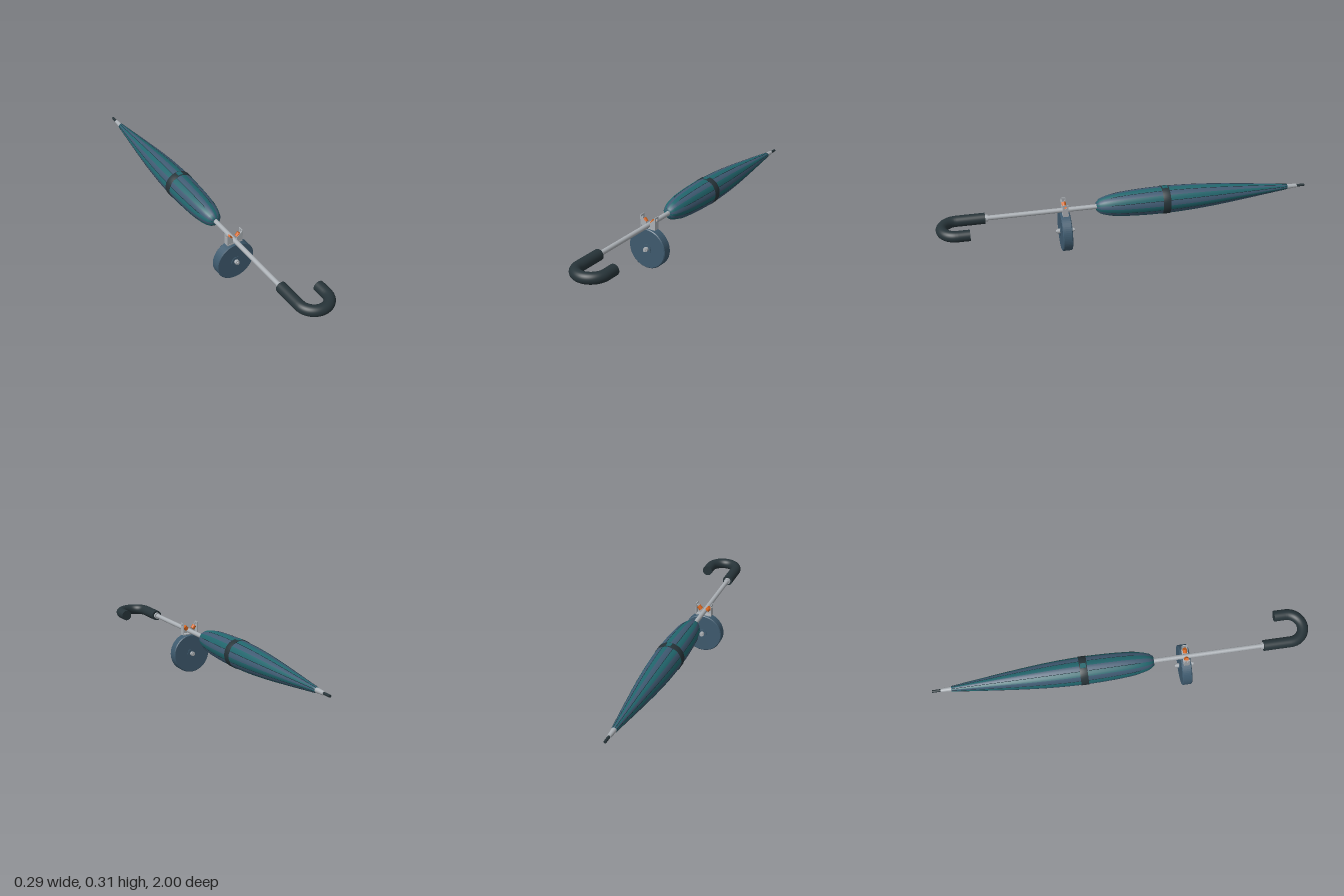
import * as THREE from 'three';

const AX = -0.04, AY = 0.235;            // umbrella axis, running along z
const mat = (name, color, extra = {}) => Object.assign(new THREE.MeshStandardMaterial({ color, ...extra }), { name });

export function createModel() {
  const teal = mat('teal fabric', 0x21666d, { side: THREE.DoubleSide });
  const slate = mat('slate fabric', 0x3f5a72, { side: THREE.DoubleSide });
  const wheelBlue = mat('wheel blue', 0x3e5a6e);
  const dark = mat('dark rubber', 0x273439);
  const seamDark = mat('dark seam', 0x1a2b33);
  const silver = mat('silver metal', 0xabb0b5);
  const orange = mat('orange', 0xd5651f);

  const model = new THREE.Group();
  model.name = 'umbrella';
  const add = (name, geo, material, x = 0, y = 0, z = 0) => {
    const m = new THREE.Mesh(geo, material);
    m.name = name;
    m.position.set(x, y, z);
    model.add(m);
    return m;
  };
  // cylinder along z between two z values
  const rod = (name, r, z0, z1, material, x = AX, y = AY, sides = 32, r1 = r) =>
    add(name, new THREE.CylinderGeometry(r1, r, z1 - z0, sides).rotateX(Math.PI / 2), material, x, y, (z0 + z1) / 2);

  // shaft, collar, ferrule and tip
  rod('shaft', 0.0125, -0.9, 0.76, silver);
  rod('handleCollar', 0.018, 0.732, 0.75, silver);
  rod('ferrule', 0.010, -0.955, -0.89, silver, AX, AY, 24, 0.014);
  rod('tip', 0.007, -1.0, -0.95, dark, AX, AY, 20);

  // hooked handle
  const bend = 0.078, bz = 0.893;
  const path = new THREE.CurvePath();
  const pt = a => new THREE.Vector3(AX + bend - bend * Math.cos(a), AY, bz + bend * Math.sin(a));
  const arc = [...Array(17)].map((_, i) => pt(Math.PI * i / 16));
  path.add(new THREE.LineCurve3(new THREE.Vector3(AX, AY, 0.745), arc[0]));
  path.add(new THREE.CatmullRomCurve3(arc));
  path.add(new THREE.LineCurve3(arc[16], new THREE.Vector3(AX + 2 * bend, AY, 0.832)));
  add('handle', new THREE.TubeGeometry(path, 72, 0.029, 28), dark);
  const endCap = add('handleEnd', new THREE.CircleGeometry(0.029, 28), dark, AX + 2 * bend, AY, 0.832);
  endCap.rotation.y = Math.PI;
  const startCap = add('handleStart', new THREE.CircleGeometry(0.029, 28), dark, AX, AY, 0.745);
  startCap.rotation.y = Math.PI;

  // furled canopy: profile along z, with shallow valleys at the eight seams
  const profile = new THREE.CatmullRomCurve3([
    [0.16, 0.025], [0.145, 0.038], [0.11, 0.051], [0.05, 0.062], [-0.05, 0.07], [-0.2, 0.0735],
    [-0.35, 0.069], [-0.5, 0.058], [-0.7, 0.037], [-0.9, 0.014],
  ].map(([z, r]) => new THREE.Vector3(0, r, z)));
  const N = 48;
  const rows = profile.getSpacedPoints(N);
  const fold = a => 1 + 0.012 * Math.cos(8 * a);
  const surface = (row, a, lift = 0) => {
    const r = row.y * fold(a) + lift;
    return new THREE.Vector3(r * Math.cos(a), r * Math.sin(a), row.z);
  };
  const half = Math.PI / 8, S = 5;
  const strip = start => {
    const pos = [], idx = [];
    const ends = [new THREE.Vector3(0, 0.008, 0.16), ...rows, new THREE.Vector3(0, 0.004, -0.9)];
    ends.forEach(row => {
      for (let j = 0; j <= S; j++) pos.push(...surface(row, start + half * j / S).toArray());
    });
    for (let i = 0; i < ends.length - 1; i++) {
      for (let j = 0; j < S; j++) {
        const a = i * (S + 1) + j, b = a + S + 1;
        idx.push(a, b, a + 1, a + 1, b, b + 1);
      }
    }
    const g = new THREE.BufferGeometry();
    g.setAttribute('position', new THREE.Float32BufferAttribute(pos, 3));
    g.setIndex(idx);
    g.computeVertexNormals();
    // keep the outward side facing the viewer
    const n = g.attributes.normal, k = (20 * (S + 1) + 2) * 3;
    if (n.array[k] * pos[k] + n.array[k + 1] * pos[k + 1] < 0) {
      for (let i = 0; i < idx.length; i += 3) [idx[i], idx[i + 1]] = [idx[i + 1], idx[i]];
      g.setIndex(idx);
      g.computeVertexNormals();
    }
    return g;
  };
  for (let k = 0; k < 8; k++) {
    const a = k * 2 * half;
    add('canopySlateFold', strip(a), slate, AX, AY, 0);
    add('canopyTealFold', strip(a + half), teal, AX, AY, 0);
    const line = new THREE.CatmullRomCurve3(rows.filter((_, i) => i % 4 === 0).map(r => surface(r, a + half)));
    add('canopySeam', new THREE.TubeGeometry(line, 60, 0.0011, 5), seamDark, AX, AY, 0);
  }

  // closing strap with its fastener
  const strap = new THREE.LatheGeometry(
    [[0.07, -0.02], [0.0757, -0.02], [0.0757, 0.02], [0.07, 0.02]].map(p => new THREE.Vector2(...p)), 48);
  add('strap', strap.rotateX(Math.PI / 2), dark, AX, AY, -0.21);
  add('strapFastener', new THREE.BoxGeometry(0.026, 0.004, 0.03), teal, AX, AY + 0.0755, -0.21);

  // reel wheel with hub and axle
  const WY = 0.11, WZ = 0.33;
  const rim = [[0, -0.026], [0.104, -0.026], [0.108, -0.022], [0.108, 0.022], [0.104, 0.026], [0, 0.026]];
  const wheelGeo = new THREE.LatheGeometry(rim.map(p => new THREE.Vector2(...p)), 64).toNonIndexed();
  wheelGeo.computeVertexNormals();
  add('wheel', wheelGeo.rotateX(Math.PI / 2), wheelBlue, AX, WY, WZ);
  rod('hub', 0.026, WZ - 0.029, WZ + 0.029, wheelBlue, AX, WY);
  rod('axle', 0.008, WZ - 0.05, WZ + 0.05, silver, AX, WY, 20);
  for (const s of [-1, 1]) rod('axleNut', 0.0125, WZ + s * 0.036 - 0.007, WZ + s * 0.036 + 0.007, silver, AX, WY, 12);

  // clamp on the shaft: pierced lugs, gussets and orange studs on both sides
  add('clampSaddle', new THREE.BoxGeometry(0.086, 0.006, 0.03), silver, AX, 0.219, WZ);
  const lug = new THREE.Shape([[-0.015, 0.217], [0.015, 0.217], [0.015, 0.284], [-0.015, 0.284]].map(p => new THREE.Vector2(...p)));
  lug.holes.push(new THREE.Path().absarc(0, 0.27, 0.007, 0, Math.PI * 2, true));
  const gusset = new THREE.Shape([[0.043, 0.218], [0.043, 0.277], [0.012, 0.25], [0.012, 0.218]].map(p => new THREE.Vector2(...p)));
  for (const s of [-1, 1]) {
    const lugGeo = new THREE.ExtrudeGeometry(lug, { depth: 0.004, bevelEnabled: false }).rotateY(Math.PI / 2);
    add('clampLug', lugGeo, silver, AX + s * 0.043 - 0.002, 0, WZ);
    const g = new THREE.ExtrudeGeometry(gusset, { depth: 0.004, bevelEnabled: false });
    if (s < 0) g.translate(0, 0, -0.004).rotateY(Math.PI);
    add('clampGusset', g, silver, AX, 0, WZ + 0.009);
    const stud = add('clampStud', new THREE.CylinderGeometry(0.012, 0.012, 0.022, 20), orange, AX + s * 0.025, 0.255, WZ);
    stud.rotation.z = -s * 0.7;
  }
  return model;
}
